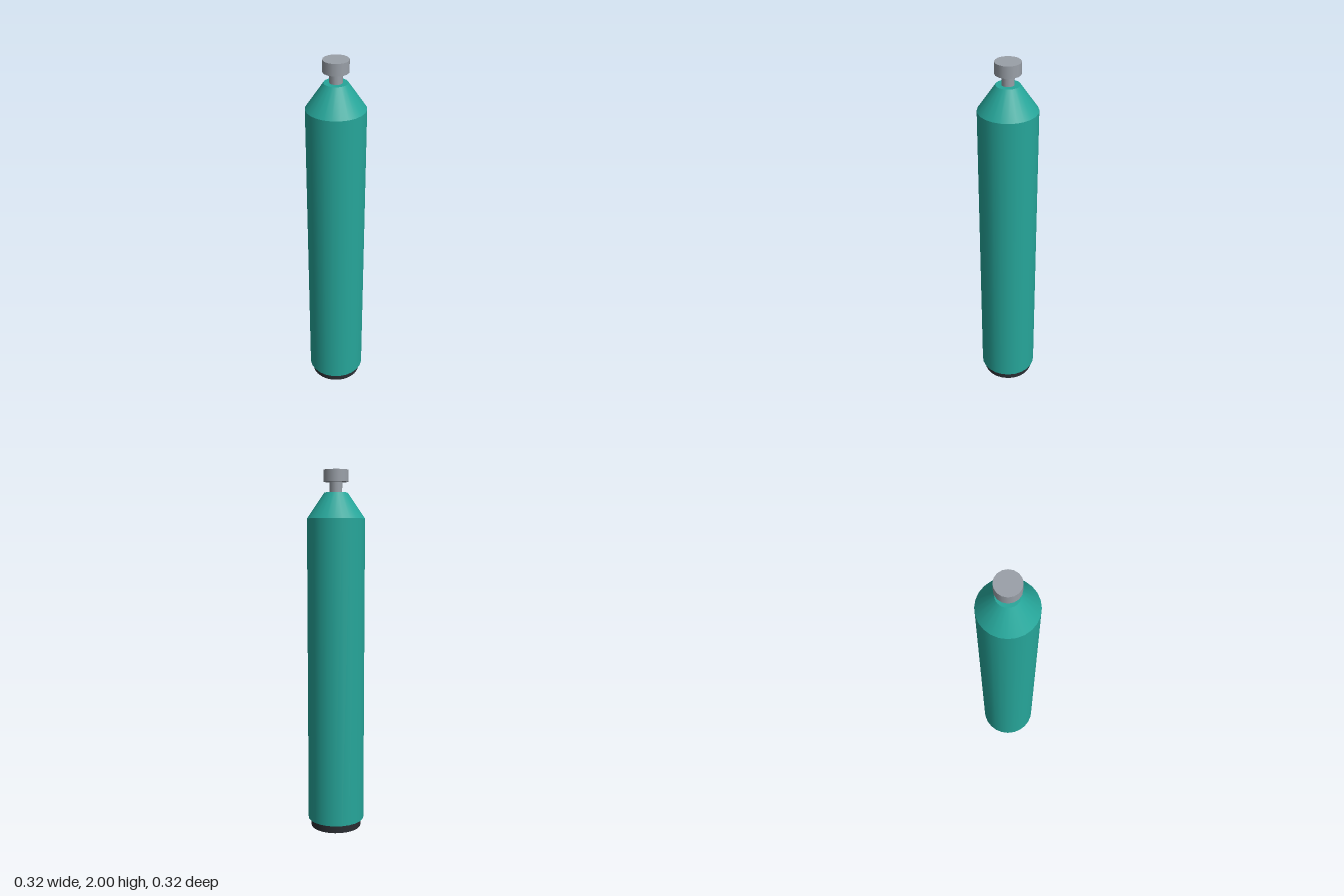
import * as THREE from 'three';

export function createModel() {
  const model = new THREE.Group();
  const teal = new THREE.MeshStandardMaterial({ color: 0x26a69a });
  teal.name = 'teal paint';
  const steel = new THREE.MeshStandardMaterial({ color: 0x9aa0a8 });
  steel.name = 'grey steel';
  const rubber = new THREE.MeshStandardMaterial({ color: 0x2a2d32 });
  rubber.name = 'black rubber';

  // Upright round part spanning y0 to y1
  function round(name, material, bottomRadius, topRadius, y0, y1, sides) {
    const geometry = new THREE.CylinderGeometry(topRadius, bottomRadius, y1 - y0, sides);
    const mesh = new THREE.Mesh(geometry, material);
    mesh.name = name;
    mesh.position.y = (y0 + y1) / 2;
    model.add(mesh);
  }

  round('footRing', rubber, 0.142, 0.142, 0, 0.046, 24);
  round('tankBody', teal, 0.158, 0.158, 0.046, 1.742, 24);
  round('shoulder', teal, 0.158, 0.063, 1.742, 1.88, 24);
  round('valveStem', steel, 0.034, 0.034, 1.87, 1.94, 12);
  round('valveKnob', steel, 0.068, 0.068, 1.937, 2, 16);

  return model;
}
